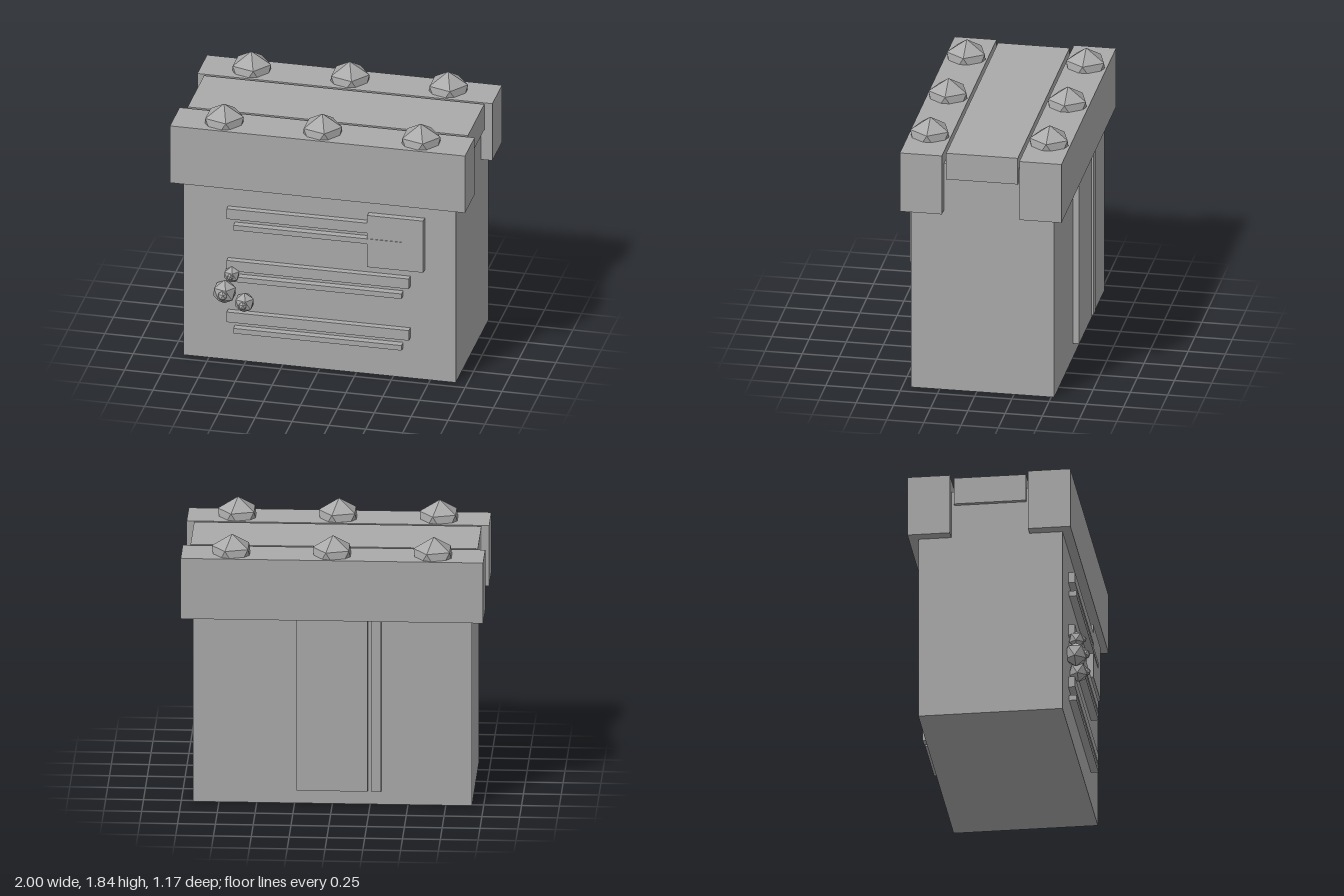
import * as THREE from 'three';

export function createModel() {
  const model = new THREE.Group();
  const stone = new THREE.MeshStandardMaterial({ color: 0xaaaaaa });
  stone.name = 'grey stone';

  // Box given by its minimum and maximum on each axis
  function box(name, [x0, x1], [y0, y1], [z0, z1]) {
    const mesh = new THREE.Mesh(new THREE.BoxGeometry(x1 - x0, y1 - y0, z1 - z0), stone);
    mesh.position.set((x0 + x1) / 2, (y0 + y1) / 2, (z0 + z1) / 2);
    mesh.name = name;
    model.add(mesh);
  }

  // Faceted ball standing on one corner, with an upper-ring corner towards +x
  const gemGeometry = new THREE.IcosahedronGeometry(1, 0);
  gemGeometry.rotateZ(Math.atan(2 / (1 + Math.sqrt(5))));
  gemGeometry.rotateY(Math.PI);
  function gem(name, r, x, y, z) {
    const mesh = new THREE.Mesh(gemGeometry, stone);
    mesh.scale.setScalar(r);
    mesh.position.set(x, y, z);
    mesh.name = name;
    model.add(mesh);
  }

  // Main block and its cap
  box('body', [-0.923, 0.923], [0, 1.62], [-0.52, 0.44]);
  box('lid', [-0.95, 0.95], [1.52, 1.707], [-0.28, 0.2]);
  box('frontBeam', [-1, 1], [1.288, 1.707], [0.22, 0.502]);
  box('backBeam', [-1, 1], [1.288, 1.707], [-0.583, -0.3]);

  // Knobs along both beams
  for (const z of [0.358, -0.443]) {
    for (const x of [-0.667, 0, 0.667]) gem('beamKnob', 0.15, x, 1.688, z);
  }

  // Three pairs of raised rails on the front
  for (let i = 0; i < 3; i++) {
    const y = 0.22 + i * 0.38;
    box('wideRail', [-0.62, 0.615], [y + 0.076, y + 0.15], [0.43, 0.485]);
    box('thinRail', [-0.573, 0.567], [y, y + 0.037], [0.43, 0.49]);
  }
  box('frontPlate', [0.333, 0.713], [0.808, 1.188], [0.43, 0.486]);

  // Cluster of buds on the front, each with a small tip: radius, x, y, tip radius, tip z
  for (const [r, x, y, tip, tipZ] of [
    [0.085, -0.632, 0.523, 0.035, 0.556],
    [0.071, -0.498, 0.458, 0.03, 0.546],
    [0.058, -0.584, 0.655, 0.024, 0.535],
  ]) {
    gem('bud', r, x, y, 0.492);
    gem('budTip', tip, x, y, tipZ);
  }

  // Back panel with a narrow strip beside it
  box('backPanel', [-0.235, 0.235], [0.1, 1.35], [-0.562, -0.51]);
  box('backStrip', [-0.325, -0.26], [0.1, 1.35], [-0.567, -0.51]);

  return model;
}
